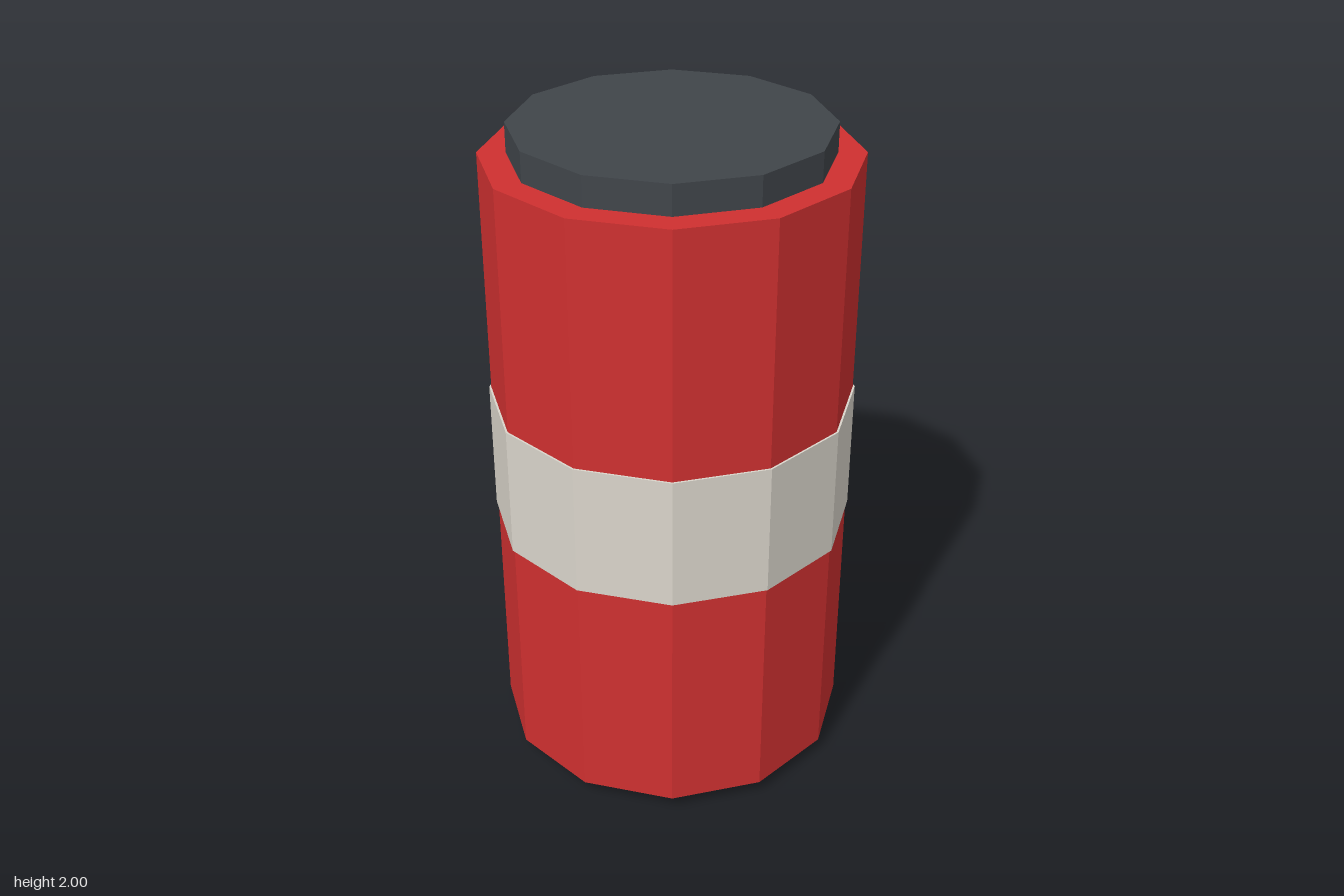
import * as THREE from 'three';

const SIDES = 12;

function material(name, color) {
  const m = new THREE.MeshStandardMaterial({ color, flatShading: true });
  m.name = name;
  return m;
}

// Twelve-sided drum between two heights, with a corner on each axis
function drum(name, radius, bottom, top, mat) {
  const geometry = new THREE.CylinderGeometry(radius, radius, top - bottom, SIDES);
  const mesh = new THREE.Mesh(geometry, mat);
  mesh.name = name;
  mesh.position.y = (bottom + top) / 2;
  return mesh;
}

export function createModel() {
  const red = material('red', 0xcf3030);
  const cream = material('warm grey', 0xdad5cb);
  const dark = material('charcoal', 0x40454a);

  const model = new THREE.Group();
  model.name = 'canister';
  model.add(
    drum('body', 0.537, 0.047, 1.913, red),
    drum('band', 0.543, 0.778, 1.182, cream),
    // End caps, sunk a little into the body
    drum('bottomCap', 0.456, 0, 0.1, dark),
    drum('topCap', 0.456, 1.86, 2, dark)
  );
  return model;
}
